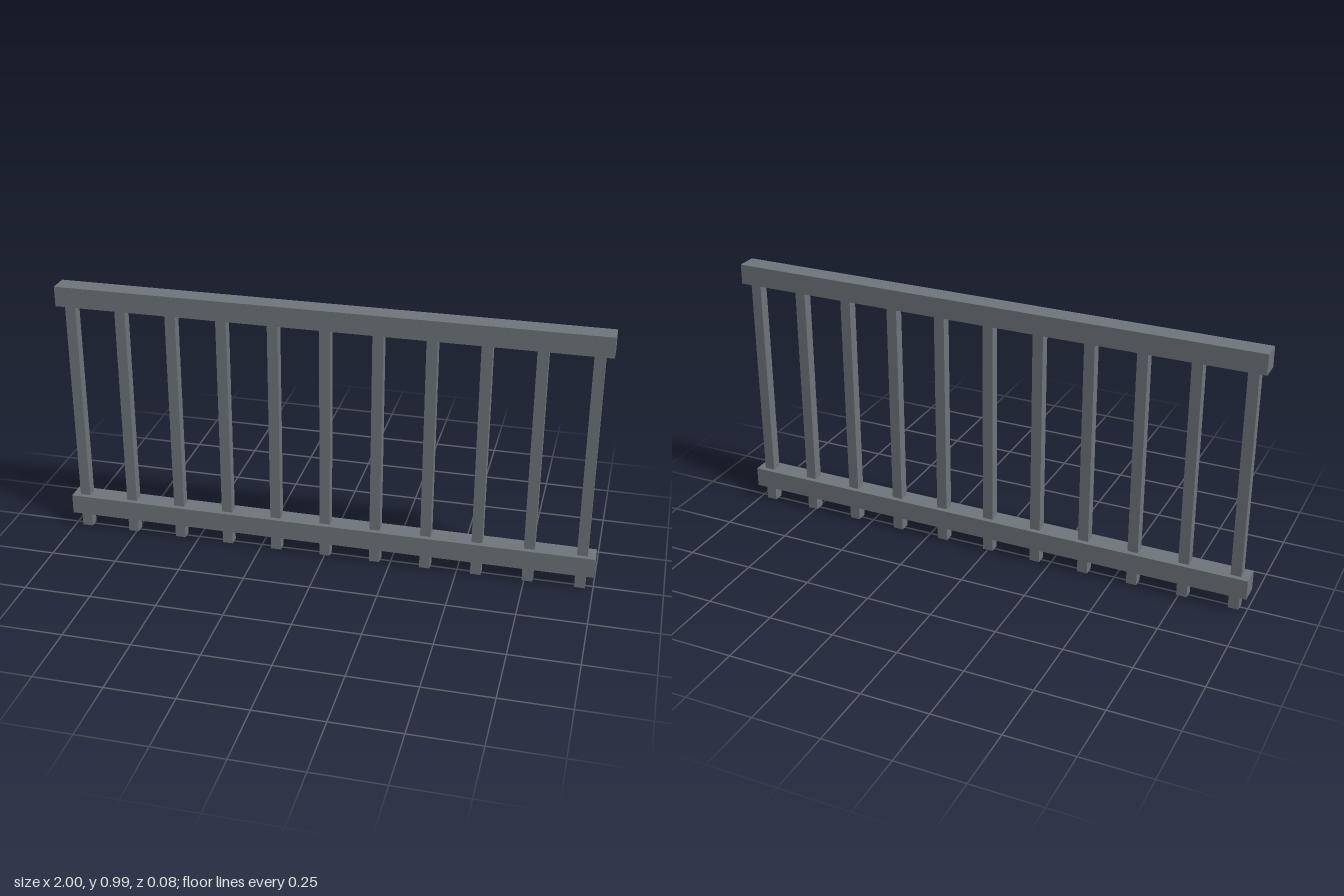
import * as THREE from 'three';

export function createModel() {
  const group = new THREE.Group();
  const steel = new THREE.MeshStandardMaterial({ color: 0x6e757c });
  steel.name = 'greySteel';

  const addBox = (name, width, bottom, top, depth, x = 0) => {
    const mesh = new THREE.Mesh(new THREE.BoxGeometry(width, top - bottom, depth), steel);
    mesh.name = name;
    mesh.position.set(x, (bottom + top) / 2, 0);
    group.add(mesh);
  };

  // Horizontal rails
  addBox('topRail', 2, 0.916, 0.991, 0.076);
  addBox('bottomRail', 2, 0.06, 0.135, 0.076);

  // Evenly spaced balusters, passing through the bottom rail to the ground
  const count = 11, reach = 0.952;
  for (let i = 0; i < count; i++) {
    const x = -reach + (2 * reach * i) / (count - 1);
    addBox(`baluster${i + 1}`, 0.039, 0, 0.92, 0.039, x);
  }

  return group;
}
